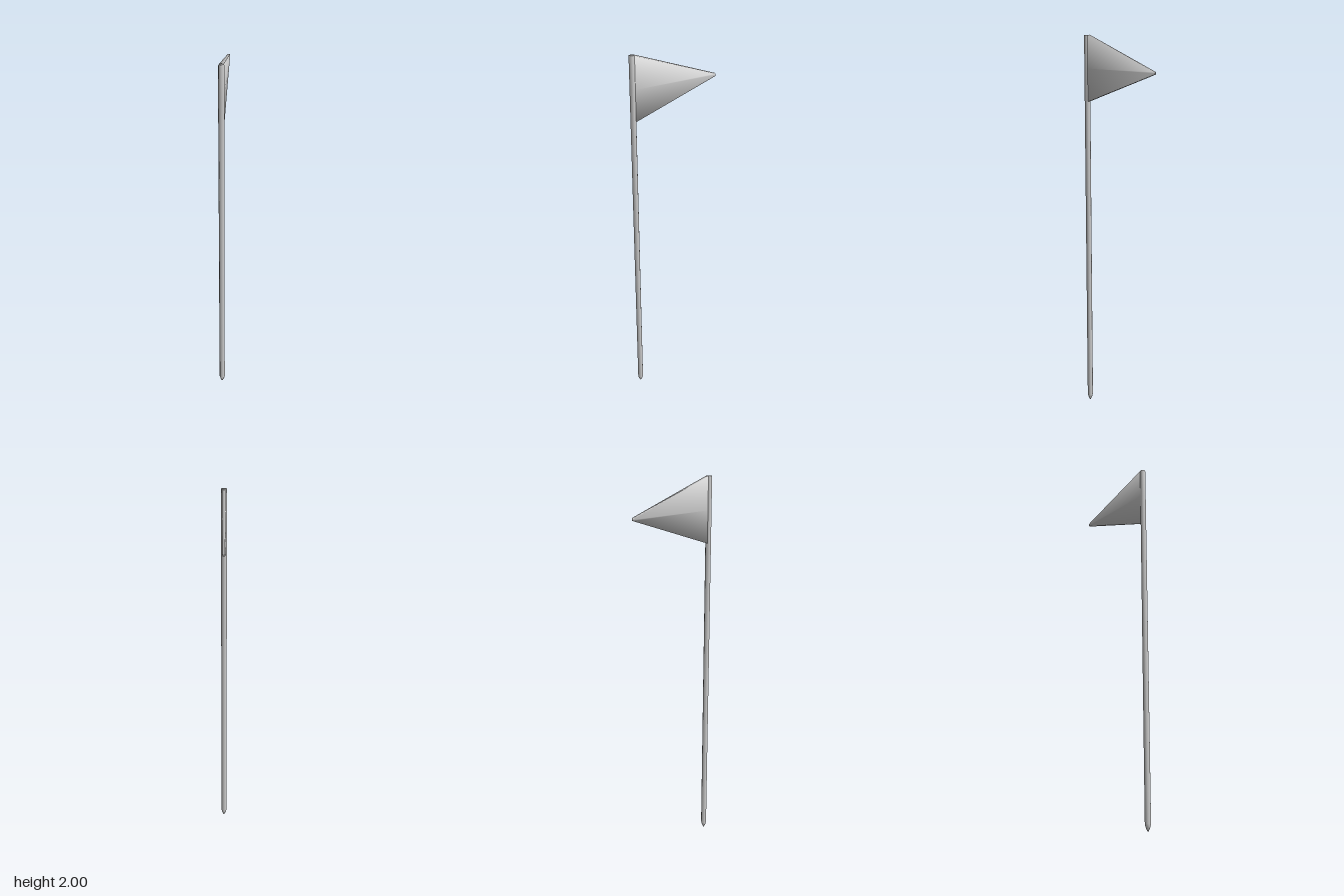
import * as THREE from 'three';

const material = new THREE.MeshStandardMaterial({ color: 0xcccccc });
const POLE_Z = 0.2;
const POLE_RADIUS = 0.0145;

// Eight-sided, smoothly shaded pole with a pointed foot
function makePole() {
  const profile = [
    [0, 0], [0.005, 0.008], [0.01, 0.02], [POLE_RADIUS, 0.036],
    [POLE_RADIUS, 1.67], [POLE_RADIUS, 1.835], [POLE_RADIUS, 2], [0, 2],
  ].map(([r, y]) => new THREE.Vector2(r, y));
  const pole = new THREE.Mesh(new THREE.LatheGeometry(profile, 8), material);
  pole.name = 'pole';
  pole.position.z = POLE_Z;
  return pole;
}

// Pennant drawn out of the pole's rear facets and tapering to a blunt tip
function makePennant() {
  const geometry = new THREE.BoxGeometry(2, 2, 2, 1, 2, 1);
  const { position, normal } = geometry.attributes;
  const reach = POLE_RADIUS * Math.SQRT1_2;
  const n = new THREE.Vector3();
  for (let i = 0; i < position.count; i++) {
    const x = position.getX(i);
    const y = position.getY(i);
    const atPole = position.getZ(i) > 0;
    position.setXYZ(
      i,
      x * (atPole ? reach : 0.005),
      1.835 + y * (atPole ? 0.166 : 0.006),
      atPole ? POLE_Z - reach : -0.215,
    );
    // Soft normals shared across the edges
    n.set(x, 0.8 * y, atPole ? 0 : -0.4).normalize();
    normal.setXYZ(i, n.x, n.y, n.z);
  }
  const pennant = new THREE.Mesh(geometry, material);
  pennant.name = 'pennant';
  return pennant;
}

export function createModel() {
  const model = new THREE.Group();
  model.name = 'flagPole';
  model.add(makePole(), makePennant());
  return model;
}
